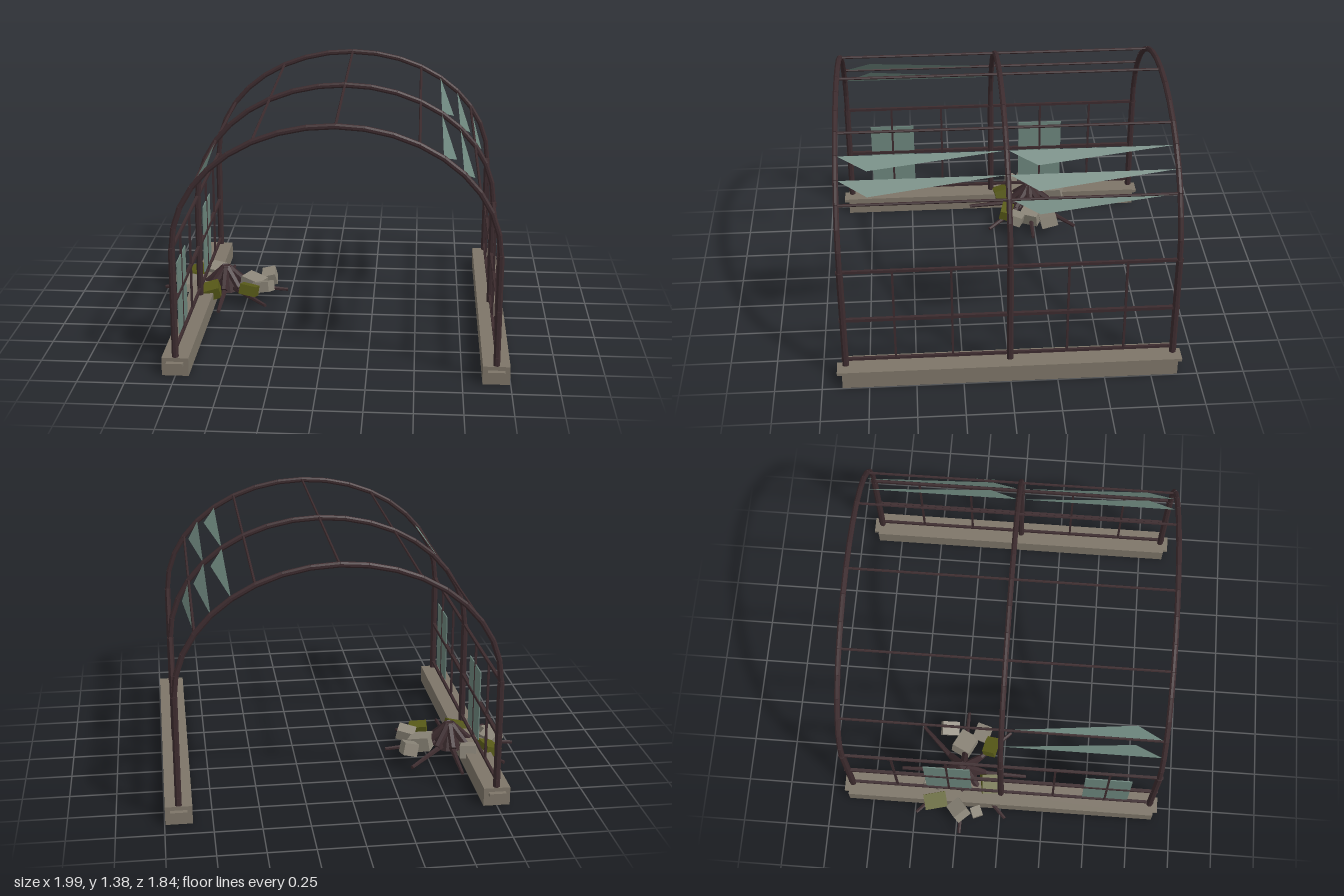
import * as THREE from 'three';

export function createModel() {
  const model = new THREE.Group();
  model.name = 'ruinedGreenhouse';

  const mat = (name, color, side = THREE.FrontSide) => {
    const m = new THREE.MeshStandardMaterial({ color, side, flatShading: true });
    m.name = name;
    return m;
  };
  const metal = mat('rusted metal', 0x3c2b2e);
  const stone = mat('foundation stone', 0x7d7568);
  const rubble = mat('rubble grey', 0x8b8578);
  const moss = mat('moss green', 0x585a18);
  const glass = mat('dusty glass', 0x6c857c, THREE.DoubleSide);

  const group = (name) => {
    const g = new THREE.Group();
    g.name = name;
    model.add(g);
    return g;
  };
  const box = (parent, name, material, size, pos) => {
    const m = new THREE.Mesh(new THREE.BoxGeometry(...size), material);
    m.name = name;
    m.position.set(...pos);
    parent.add(m);
    return m;
  };
  // Faceted rod between two points
  const rod = (parent, name, a, b, r1, r2 = r1, sides = 8) => {
    const from = new THREE.Vector3(...a), to = new THREE.Vector3(...b);
    const dir = to.clone().sub(from);
    const geo = new THREE.CylinderGeometry(r2, r1, dir.length(), sides);
    geo.rotateY(Math.PI / sides);
    const m = new THREE.Mesh(geo, metal);
    m.name = name;
    m.position.copy(from).add(to).multiplyScalar(0.5);
    m.quaternion.setFromUnitVectors(new THREE.Vector3(0, 1, 0), dir.normalize());
    parent.add(m);
    return m;
  };

  // Elliptical vault: angle runs from the left wall (0) to the right wall (180)
  const CX = 0.0875, RX = 0.8375, SPRING = 0.7, RY = 0.663, END = 0.872;
  const vault = (deg, z, k = 1) => {
    const t = THREE.MathUtils.degToRad(deg);
    return [CX + k * RX * Math.cos(t), SPRING + k * RY * Math.sin(t), z];
  };
  const walls = [CX - RX, CX + RX];

  // Foundation beams with a small lug at each end
  const foundation = group('foundation');
  for (const x of walls) {
    box(foundation, 'foundationBeam', stone, [0.142, 0.1, 1.784], [x, 0.05, 0]);
    for (const s of [-1, 1])
      box(foundation, 'endLug', stone, [0.09, 0.018, 0.04], [x, 0.07, s * 0.9]);
  }

  // Three ribs: a post on each wall and a faceted arch
  for (const z of [-END, 0, END]) {
    const rib = group('rib');
    for (const x of walls) rod(rib, 'post', [x, 0.09, z], [x, SPRING, z], 0.0185);
    for (let i = 0; i < 18; i++)
      rod(rib, 'archSegment', vault(i * 10, z), vault(i * 10 + 10, z), 0.0155);
  }

  // Wall rails and glazing bars
  const frames = group('wallFrames');
  for (const x of walls) {
    for (const [y, t] of [[0.138, 0.015], [0.395, 0.018], [0.7, 0.015]])
      box(frames, 'wallRail', metal, [t, t, 1.784], [x, y, 0]);
    for (const z of [-0.605, -0.303, 0.303, 0.605])
      box(frames, 'glazingBar', metal, [0.012, 0.56, 0.012], [x, 0.42, z]);
  }

  // Roof purlins
  const roof = group('roofPurlins');
  for (const deg of [30, 60, 90, 120, 150])
    rod(roof, 'purlin', vault(deg, -END), vault(deg, END), 0.0075, 0.0075, 6);

  // Remaining wall panes
  const panes = group('wallPanes');
  for (const z of [0.605, -0.303])
    box(panes, 'wallPane', glass, [0.006, 0.405, 0.262], [walls[0], 0.373, z]);

  // Broken roof panes: thin triangles lying on the vault [edge angle, tip angle, bay start]
  const shards = group('roofShards');
  const shardList = [
    [50, 43.5, 0], [40, 33, 0], [50, 43.5, -END], [40, 33, -END], [30, 23.5, -END],
    [150, 143, 0], [160, 153, 0],
  ];
  for (const [edge, tip, z] of shardList) {
    const geo = new THREE.BufferGeometry();
    const points = [...vault(edge, z + 0.01), ...vault(tip, z + 0.715), ...vault(edge, z + 0.862)];
    geo.setAttribute('position', new THREE.Float32BufferAttribute(points, 3));
    geo.computeVertexNormals();
    const m = new THREE.Mesh(geo, glass);
    m.name = 'roofShard';
    shards.add(m);
  }

  // Dead stump with eight spreading roots
  const debris = group('debris');
  const PX = -0.628, PZ = -0.228;
  rod(debris, 'stump', [PX, 0.05, PZ], [PX, 0.195, PZ], 0.085, 0.03);
  for (let i = 0; i < 8; i++) {
    const a = (i * Math.PI) / 4;
    const at = (r, y) => [PX + r * Math.cos(a), y, PZ + r * Math.sin(a)];
    rod(debris, 'rootCrown', at(0.01, 0.185), at(0.12, 0.085), 0.022, 0.02, 6);
    rod(debris, 'root', at(0.08, 0.075), at(0.368, 0.052), 0.017, 0.01, 6);
  }

  // Scattered blocks: material, x, z, width, height, depth, turn
  const blocks = [
    [moss, -0.82, -0.38, 0.09, 0.07, 0.13, 0.25],
    [rubble, -0.705, -0.4, 0.09, 0.07, 0.1, -0.3],
    [rubble, -0.87, -0.24, 0.1, 0.07, 0.09, 0.7],
    [rubble, -0.87, -0.135, 0.06, 0.05, 0.06, 0.4],
    [moss, -0.7, -0.07, 0.11, 0.07, 0.1, 0.15],
    [moss, -0.475, -0.08, 0.1, 0.06, 0.07, -0.2],
    [rubble, -0.465, -0.235, 0.12, 0.08, 0.11, -0.45],
    [rubble, -0.378, -0.33, 0.08, 0.07, 0.1, 0.08],
    [rubble, -0.395, -0.135, 0.1, 0.06, 0.08, -0.35],
  ];
  blocks.forEach(([material, x, z, w, h, d, turn], i) => {
    const m = box(debris, material === moss ? 'mossyBlock' : 'rubbleBlock', material,
      [w, h, d], [x, 0.088 + 0.008 * (i % 3), z]);
    m.rotation.set(0.25 * Math.sin(i * 2.1), turn, 0.28 * Math.cos(i * 1.7));
  });

  return model;
}
